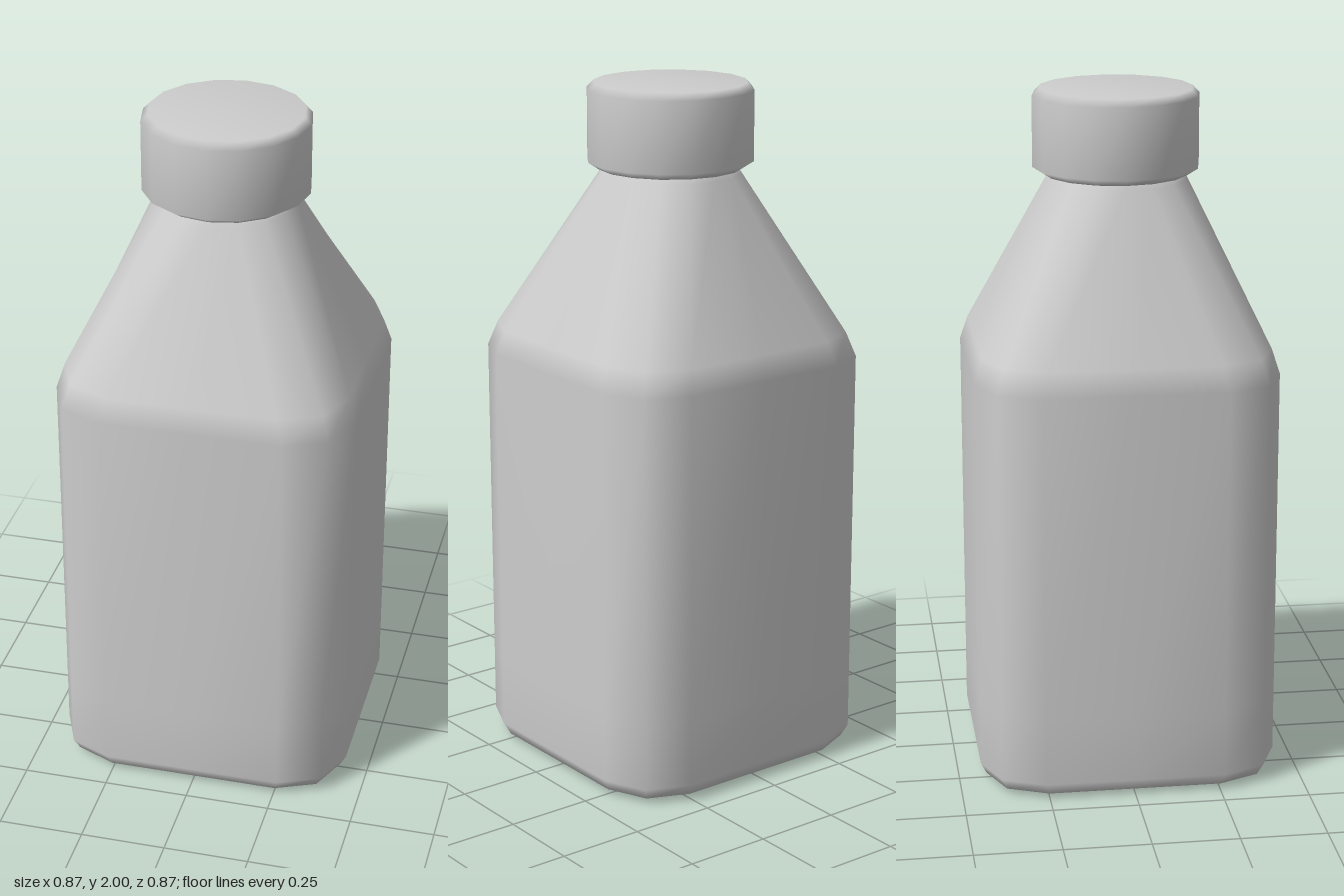
import * as THREE from 'three';

const SIDES = 16;

// One quadrant of the rounded-square body outline, as [x, z] for unit half-width
const QUADRANT = [[1, 0], [1, 0.6], [0.88, 0.88], [0.6, 1]];

// Outline point i, blended from rounded square (round = 0) to circle (round = 1)
function outlinePoint(i, radius, round) {
  const quarter = Math.floor(i / 4) * Math.PI / 2;
  const [qx, qz] = QUADRANT[i % 4];
  const sx = qx * Math.cos(quarter) - qz * Math.sin(quarter);
  const sz = qx * Math.sin(quarter) + qz * Math.cos(quarter);
  const a = i / SIDES * Math.PI * 2;
  return [
    radius * THREE.MathUtils.lerp(sx, Math.cos(a), round),
    radius * THREE.MathUtils.lerp(sz, Math.sin(a), round),
  ];
}

// Smooth closed skin through sections [y, radius, round], listed bottom to top
function loft(sections) {
  const positions = [];
  const index = [];
  for (const [y, radius, round] of sections) {
    for (let i = 0; i < SIDES; i++) {
      const [x, z] = outlinePoint(i, radius, round);
      positions.push(x, y, z);
    }
  }
  for (let s = 0; s < sections.length - 1; s++) {
    for (let i = 0; i < SIDES; i++) {
      const a = s * SIDES + i;
      const b = s * SIDES + (i + 1) % SIDES;
      index.push(a, a + SIDES, b, b, a + SIDES, b + SIDES);
    }
  }
  // End faces
  const last = (sections.length - 1) * SIDES;
  const bottom = positions.length / 3;
  positions.push(0, sections[0][0], 0, 0, sections[sections.length - 1][0], 0);
  for (let i = 0; i < SIDES; i++) {
    const j = (i + 1) % SIDES;
    index.push(bottom, i, j, bottom + 1, last + j, last + i);
  }
  const geometry = new THREE.BufferGeometry();
  geometry.setAttribute('position', new THREE.Float32BufferAttribute(positions, 3));
  geometry.setIndex(index);
  geometry.computeVertexNormals();
  return geometry;
}

export function createModel() {
  const group = new THREE.Group();
  group.name = 'bottle';
  const grey = new THREE.MeshStandardMaterial({ color: 0xcccccc });
  grey.name = 'plain grey';

  // Square body, sloping shoulder and round neck
  const body = new THREE.Mesh(loft([
    [0, 0.38, 0],
    [0.015, 0.42, 0],
    [0.05, 0.437, 0],
    [0.25, 0.437, 0],
    [1.21, 0.437, 0],
    [1.28, 0.417, 0.05],
    [1.74, 0.205, 1],
    [1.8, 0.19, 1],
  ]), grey);
  body.name = 'body';

  // Screw cap with small bevels
  const cap = new THREE.Mesh(loft([
    [1.755, 0.21, 1],
    [1.775, 0.241, 1],
    [1.98, 0.241, 1],
    [2, 0.222, 1],
  ]), grey);
  cap.name = 'cap';

  group.add(body, cap);
  return group;
}
